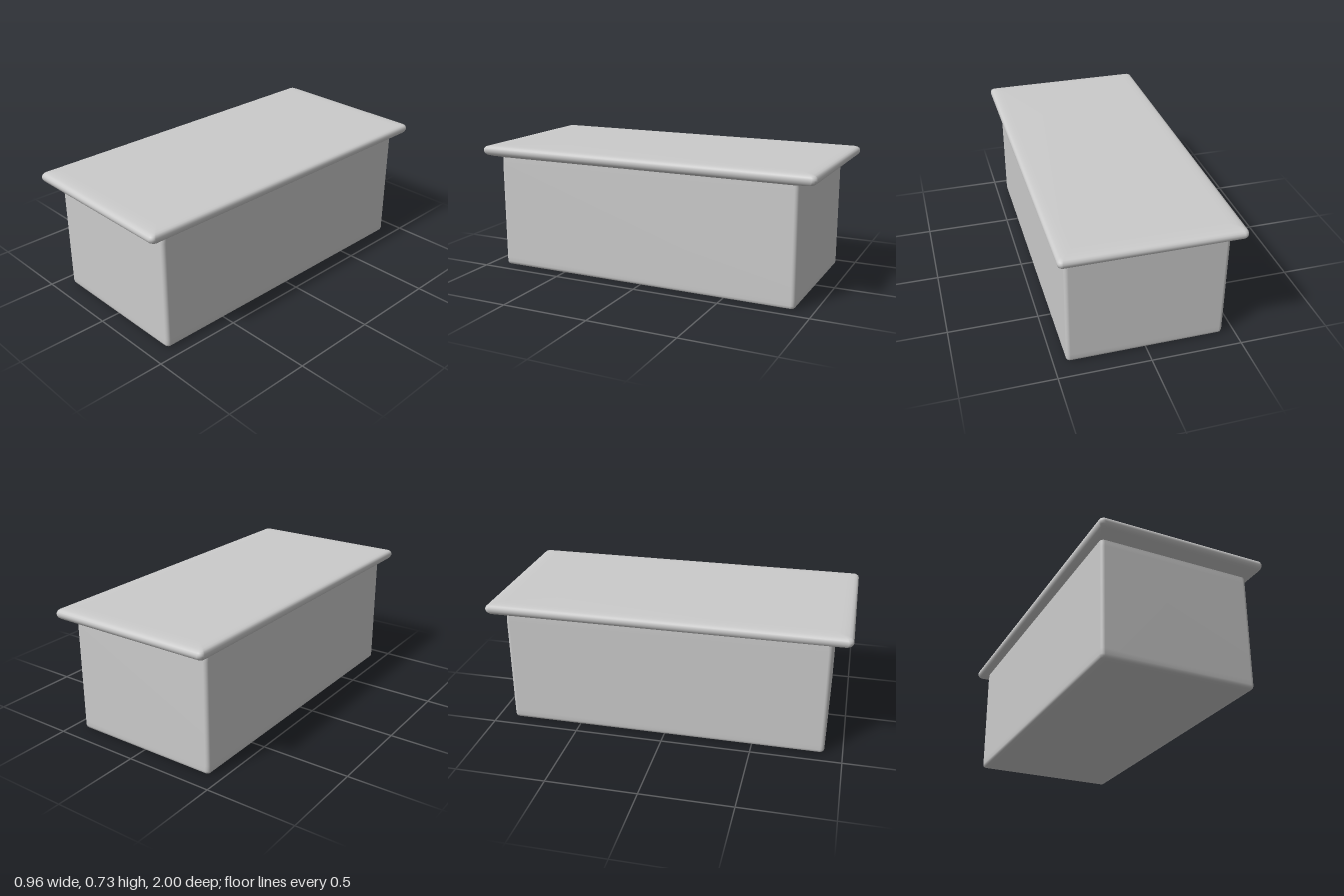
import * as THREE from 'three';

const CORNER_STEPS = 6;

// Rounded rectangle in the xz plane, as a closed loop of points
function ring([hx, hz, y, r]) {
  const points = [];
  for (let c = 0; c < 4; c++) {
    const sx = c === 0 || c === 3 ? 1 : -1;
    const sz = c < 2 ? 1 : -1;
    for (let i = 0; i <= CORNER_STEPS; i++) {
      const a = (c + i / CORNER_STEPS) * Math.PI / 2;
      points.push(sx * (hx - r) + r * Math.cos(a), y, sz * (hz - r) + r * Math.sin(a));
    }
  }
  return points;
}

// Skin a stack of rings, listed from the bottom up; a zero-size ring closes an end
function loft(name, sections, material) {
  const n = 4 * (CORNER_STEPS + 1);
  const index = [];
  for (let k = 0; k < sections.length - 1; k++) {
    for (let i = 0; i < n; i++) {
      const a = k * n + i, b = k * n + (i + 1) % n;
      index.push(a, a + n, b + n, a, b + n, b);
    }
  }
  const geometry = new THREE.BufferGeometry();
  geometry.setAttribute('position', new THREE.Float32BufferAttribute(sections.flatMap(ring), 3));
  geometry.setIndex(index);
  geometry.computeVertexNormals();
  const mesh = new THREE.Mesh(geometry, material);
  mesh.name = name;
  return mesh;
}

export function createModel() {
  const material = new THREE.MeshStandardMaterial({ color: 0xcccccc, side: THREE.DoubleSide });
  const group = new THREE.Group();
  group.name = 'box';

  // Box body: flat base, softened bottom edge, straight walls
  // each section is [half width, half depth, height, corner radius]
  group.add(loft('body', [
    [0, 0, 0, 0],
    [0.395, 0.863, 0, 0.005],
    [0.412, 0.88, 0.001, 0.01],
    [0.423, 0.891, 0.004, 0.016],
    [0.429, 0.897, 0.010, 0.02],
    [0.432, 0.9, 0.022, 0.022],
    [0.432, 0.9, 0.05, 0.022],
    [0.432, 0.9, 0.62, 0.022],
    [0.431, 0.898, 0.645, 0.022],
    [0.431, 0.898, 0.664, 0.022],
  ], material));

  // Lid: overhanging slab with a bullnose rim and sloped underside
  group.add(loft('lid', [
    [0.428, 0.895, 0.657, 0.02],
    [0.44, 0.925, 0.662, 0.02],
    [0.455, 0.96, 0.666, 0.02],
    [0.468, 0.983, 0.672, 0.022],
    [0.476, 0.995, 0.681, 0.024],
    [0.48, 1, 0.693, 0.025],
    [0.48, 1, 0.703, 0.025],
    [0.477, 0.996, 0.713, 0.024],
    [0.47, 0.987, 0.720, 0.02],
    [0.458, 0.972, 0.724, 0.015],
    [0.435, 0.945, 0.726, 0.01],
    [0.40, 0.91, 0.727, 0.005],
    [0, 0, 0.727, 0],
  ], material));

  return group;
}
